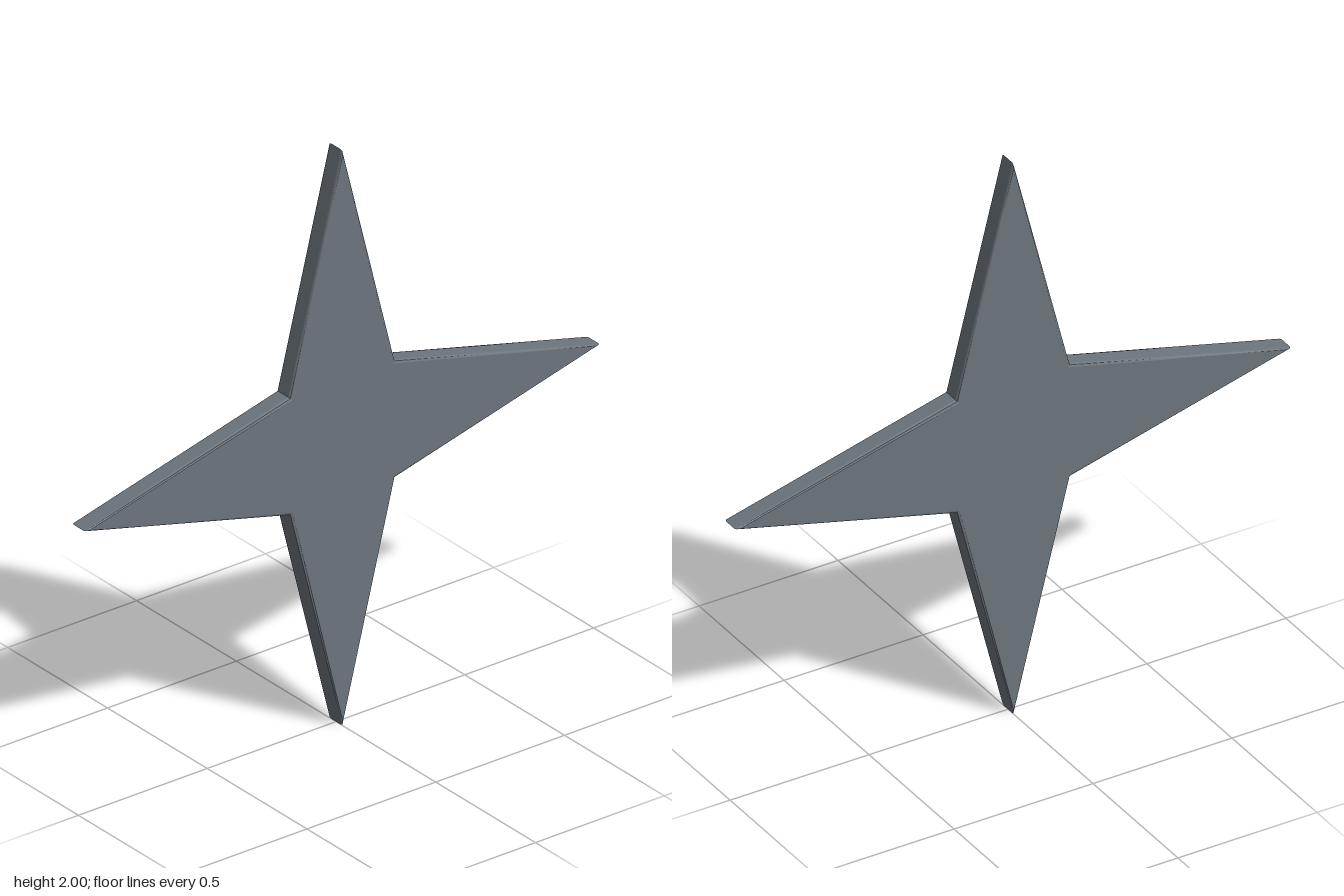
import * as THREE from 'three';

export function createModel() {
  const group = new THREE.Group();
  group.name = 'throwingStar';
  const steel = new THREE.MeshStandardMaterial({ color: 0x6c757d });
  steel.name = 'steel grey';

  // Four-pointed outline, alternating long tips and inner corners
  const bevel = 0.01, halfDepth = 0.035;
  const tip = 1 - bevel * Math.SQRT2, inner = 0.196 * Math.SQRT2;
  const points = [];
  for (let i = 0; i < 8; i++) {
    const r = i % 2 ? inner : tip, a = (i * Math.PI) / 4;
    points.push(new THREE.Vector2(r * Math.cos(a), r * Math.sin(a)));
  }

  // Thin plate with a small bevel round both faces
  const depth = 2 * (halfDepth - bevel);
  const geometry = new THREE.ExtrudeGeometry(new THREE.Shape(points), {
    depth, bevelEnabled: true, bevelSize: bevel, bevelThickness: bevel, bevelSegments: 2,
  });
  geometry.translate(0, 1, -depth / 2);
  const blade = new THREE.Mesh(geometry, steel);
  blade.name = 'starBlade';
  group.add(blade);
  return group;
}
